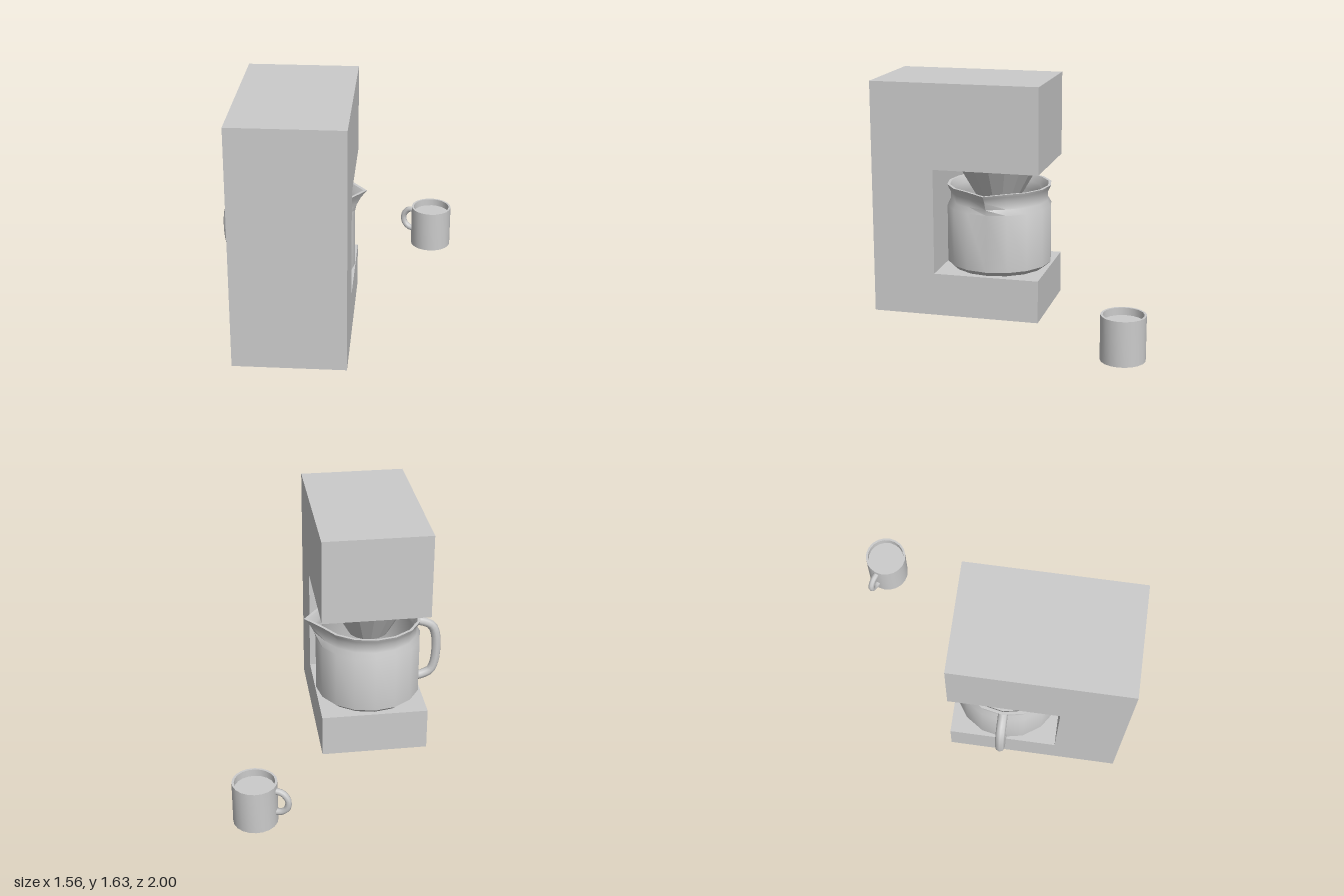
import * as THREE from 'three';
import { toCreasedNormals } from 'three/addons/utils/BufferGeometryUtils.js';

const mat = new THREE.MeshStandardMaterial({ color: 0xcccccc, side: THREE.DoubleSide });
const flatMat = new THREE.MeshStandardMaterial({ color: 0xcccccc, flatShading: true, side: THREE.DoubleSide });

function add(parent, name, geometry, material = mat) {
  const mesh = new THREE.Mesh(geometry, material);
  mesh.name = name;
  parent.add(mesh);
  return mesh;
}

const points2 = (list) => list.map(([x, y]) => new THREE.Vector2(x, y));

// Handle swept through points in the xy plane
function handle(list, radius, steps) {
  const path = new THREE.CatmullRomCurve3(list.map(([x, y]) => new THREE.Vector3(x, y, 0)));
  return new THREE.TubeGeometry(path, steps, radius, 8);
}

// C-shaped housing, side profile drawn in (z, y) and extruded across x
function housing() {
  const shape = new THREE.Shape(points2([
    [-1, 0], [0.18, 0], [0.18, 0.3], [-0.56, 0.3],
    [-0.56, 1.04], [0.18, 1.04], [0.18, 1.635], [-1, 1.635],
  ]));
  const g = new THREE.ExtrudeGeometry(shape, { depth: 0.74, bevelEnabled: false });
  g.rotateY(Math.PI / 2);
  g.translate(-0.63, 0, 0);
  return g;
}

// Round jug wall; the rim column facing +x is pulled out into a pouring lip
function jugWall() {
  const profile = points2([
    [0, 0.3], [0.33, 0.3], [0.37, 0.335], [0.37, 0.74], [0.347, 0.78], [0.345, 0.835],
    [0.362, 0.87], [0.37, 0.89], [0.35, 0.89], [0.33, 0.84], [0.33, 0.78],
    [0.35, 0.73], [0.35, 0.34], [0, 0.33],
  ]);
  const g = new THREE.LatheGeometry(profile, 16);
  const p = g.attributes.position;
  for (let i = 0; i < p.count; i++) {
    const x = p.getX(i), y = p.getY(i);
    if (x > 0.3 && Math.abs(p.getZ(i)) < 0.01 && y > 0.75) {
      const t = (y - 0.75) / 0.14;
      const outer = 0.37 + 0.03 * t + 0.05 * t * t;
      p.setX(i, i % profile.length < 8 ? outer : outer - 0.025);
    }
  }
  return toCreasedNormals(g, 0.7);
}

export function createModel() {
  const model = new THREE.Group();

  // Machine
  const machine = new THREE.Group();
  machine.name = 'coffeeMachine';
  model.add(machine);
  add(machine, 'housing', housing(), flatMat);
  add(machine, 'filterCone', new THREE.CylinderGeometry(0.295, 0.14, 0.27, 16), flatMat)
    .position.set(-0.26, 0.905, 0.19);

  // Jug
  const jug = new THREE.Group();
  jug.name = 'jug';
  jug.position.set(-0.26, 0, 0.185);
  model.add(jug);
  add(jug, 'jugWall', jugWall());
  add(jug, 'jugHandle', handle([
    [-0.335, 0.825], [-0.39, 0.812], [-0.455, 0.775], [-0.485, 0.7], [-0.485, 0.5],
    [-0.455, 0.415], [-0.4, 0.385], [-0.355, 0.375],
  ], 0.033, 20));

  // Mug with drink
  const mug = new THREE.Group();
  mug.name = 'mug';
  mug.position.set(0.63, 0, -0.855);
  mug.rotation.y = -0.38;
  model.add(mug);
  const wall = new THREE.LatheGeometry(points2([
    [0, 0], [0.147, 0], [0.147, 0.3], [0.132, 0.3], [0.132, 0.02], [0, 0.02],
  ]), 20);
  add(mug, 'mugWall', toCreasedNormals(wall, 0.7));
  const drink = new THREE.CircleGeometry(0.134, 20);
  drink.rotateX(-Math.PI / 2);
  add(mug, 'drink', drink).position.y = 0.25;
  add(mug, 'mugHandle', handle([
    [-0.138, 0.25], [-0.185, 0.24], [-0.218, 0.2], [-0.224, 0.165], [-0.213, 0.125],
    [-0.18, 0.096], [-0.138, 0.088],
  ], 0.022, 14));

  return model;
}
